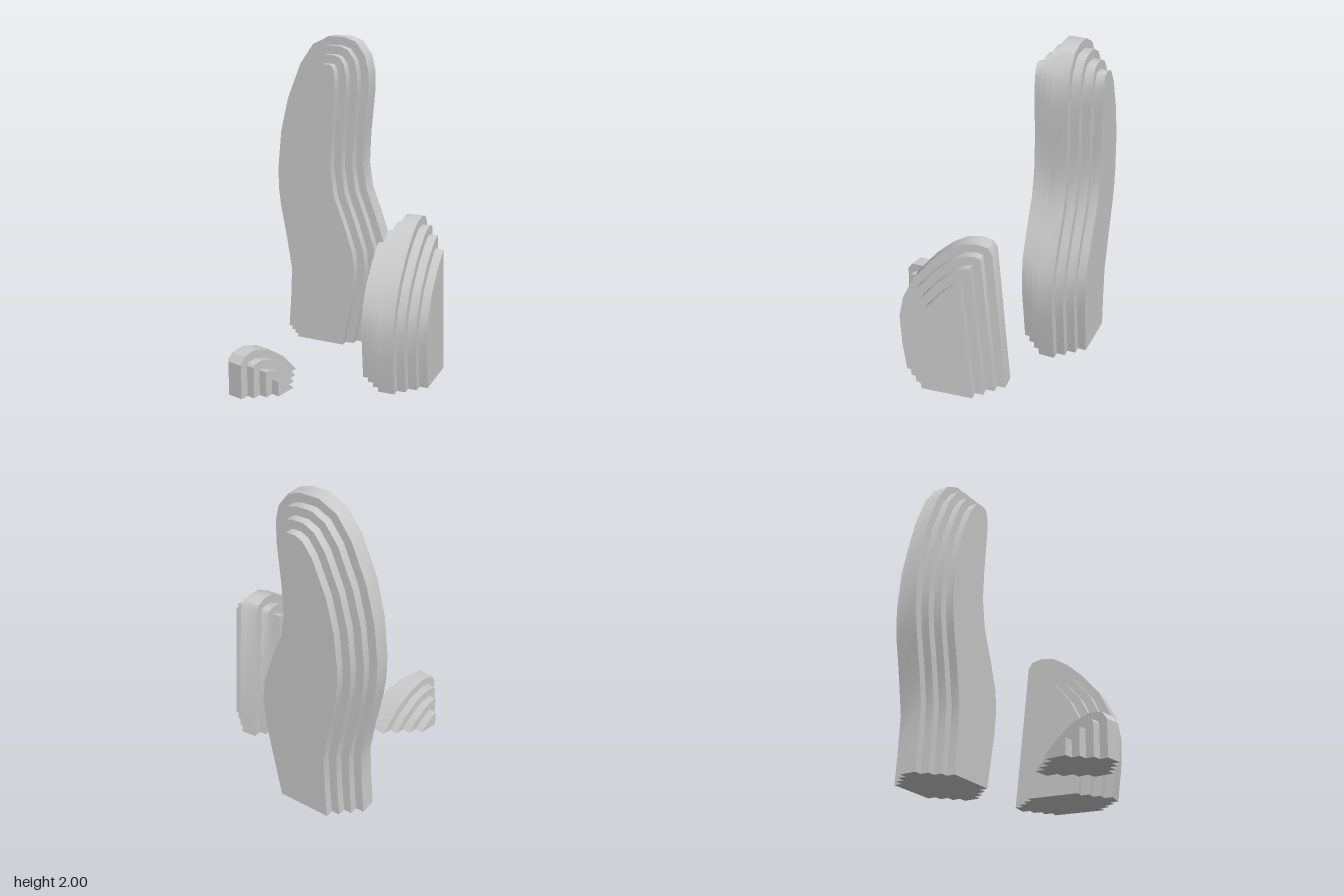
import * as THREE from 'three';
import { toCreasedNormals } from 'three/addons/utils/BufferGeometryUtils.js';

const material = new THREE.MeshStandardMaterial({ color: 0xcccccc });
const MID = 0.1;    // thickness of the middle slab
const STEP = 0.051; // thickness of each outer slab, and the inset between slabs

// Meeting point of two lines { p, d }
function meet(a, b) {
  const c = a.d.cross(b.d);
  if (Math.abs(c) < 1e-4) return b.p.clone();
  const t = b.p.clone().sub(a.p).cross(b.d) / c;
  return a.p.clone().addScaledVector(a.d, t);
}

// Shrinks an outline on all sides but its base; edges that vanish are dropped
function inset(points, amount) {
  const lines = points.map((p, i) => {
    const d = points[(i + 1) % points.length].clone().sub(p).normalize();
    const shift = i === points.length - 1 ? 0 : amount;
    return { p: new THREE.Vector2(p.x + d.y * shift, p.y - d.x * shift), d };
  });
  for (;;) {
    const n = lines.length;
    const corners = lines.map((line, i) => meet(lines[(i + n - 1) % n], line));
    let worst = -1, low = 0;
    lines.forEach((line, i) => {
      const length = corners[(i + 1) % n].clone().sub(corners[i]).dot(line.d);
      if (length < low && i < n - 1) { low = length; worst = i; }
    });
    if (worst < 0 || n <= 4) return corners;
    lines.splice(worst, 1);
  }
}

function slab(outline, depth, z, name) {
  const geometry = new THREE.ExtrudeGeometry(new THREE.Shape(outline), { depth, bevelEnabled: false });
  const mesh = new THREE.Mesh(toCreasedNormals(geometry, 0.6), material);
  mesh.position.z = z;
  mesh.name = name;
  return mesh;
}

// A rock is a thick middle slab with three shrinking slabs on either side
function rock(name, profile, pivot, x, z, angle) {
  const outline = profile.map(([h, y]) => new THREE.Vector2(h - pivot, y));
  const group = new THREE.Group();
  group.name = name;
  group.add(slab(outline, MID, -MID / 2, 'middleSlab'));
  for (let i = 1; i <= 3; i++) {
    const smaller = inset(outline, STEP * i);
    const near = MID / 2 + STEP * (i - 1);
    group.add(slab(smaller, STEP, near, 'frontSlab' + i));
    group.add(slab(smaller, STEP, -near - STEP, 'backSlab' + i));
  }
  group.position.set(x, 0, z);
  group.rotation.y = angle;
  return group;
}

// Profiles run from the base on one side, over the top, to the base on the other
const tall = [
  [-0.62, 0.035], [-0.605, 0.25], [-0.597, 0.445], [-0.632, 0.655], [-0.675, 0.87], [-0.69, 0.99],
  [-0.692, 1.13], [-0.668, 1.37], [-0.615, 1.59], [-0.52, 1.82], [-0.43, 1.945], [-0.32, 2],
  [-0.21, 2], [-0.13, 1.975], [-0.065, 1.89], [-0.042, 1.79], [-0.042, 1.66], [-0.066, 1.4],
  [-0.073, 1.21], [-0.05, 1.06], [0.025, 0.87], [0.083, 0.7], [0.1, 0.55], [0.082, 0.365], [0.02, 0.045],
];
const medium = [
  [-0.18, 0.043], [-0.205, 0.235], [-0.215, 0.42], [-0.19, 0.55], [-0.12, 0.7], [-0.005, 0.84],
  [0.095, 0.93], [0.185, 0.985], [0.27, 1], [0.335, 0.985], [0.36, 0.945], [0.445, 0.052],
];
const small = [
  [-0.677, 0], [-0.677, 0.21], [-0.645, 0.255], [-0.555, 0.27], [-0.435, 0.235],
  [-0.31, 0.15], [-0.192, 0.025],
];

export function createModel() {
  const model = new THREE.Group();
  model.name = 'layeredRocks';
  model.add(
    rock('tallRock', tall, -0.3, -0.3, -0.433, 0.17),
    rock('mediumRock', medium, 0.12, 0.463, -0.12, Math.PI / 2 + 0.257),
    rock('smallRock', small, -0.43, -0.175, 0.43, Math.PI / 2 - 0.022),
  );
  return model;
}
